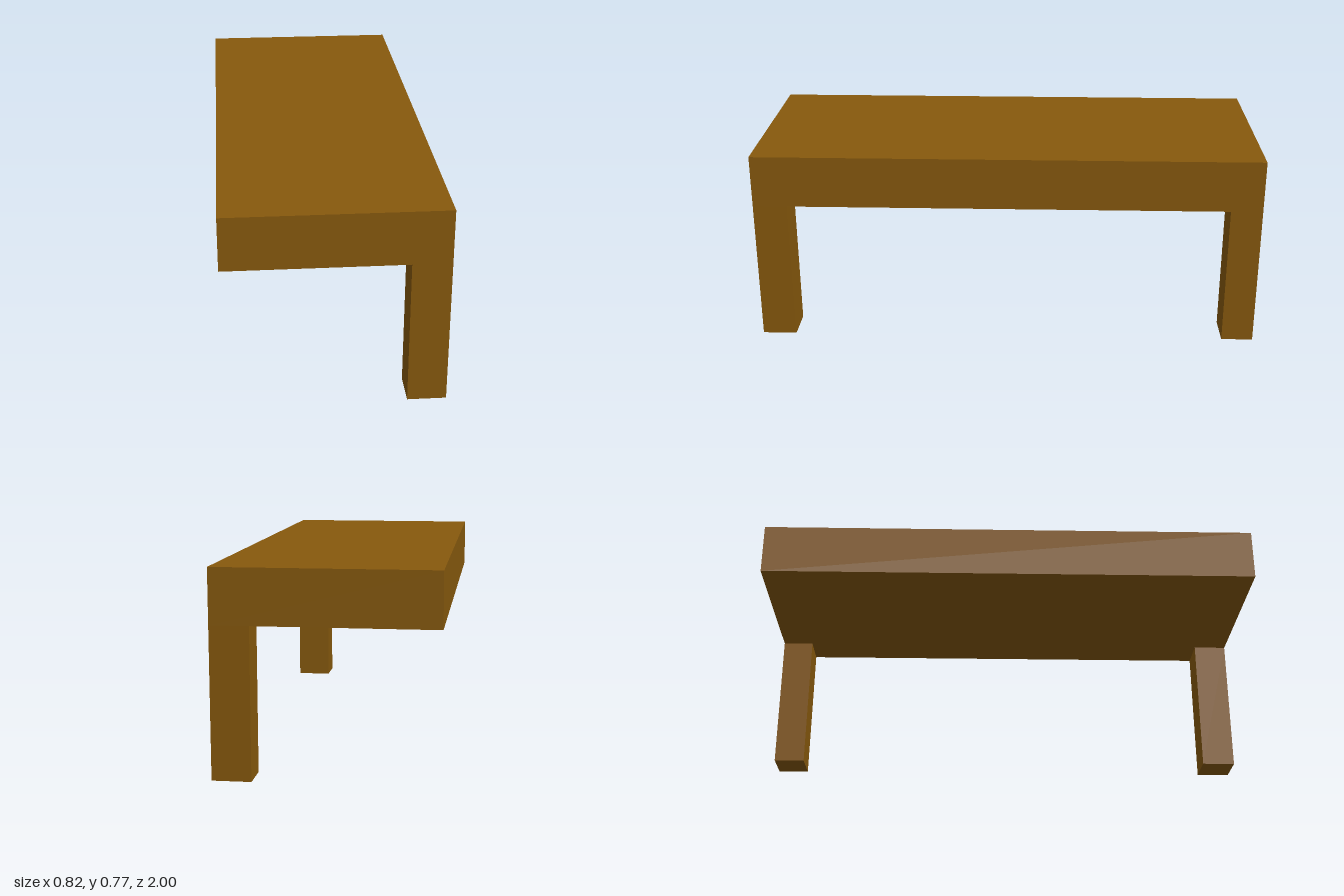
import * as THREE from 'three';

export function createModel() {
  const model = new THREE.Group();
  model.name = 'bench';
  const wood = new THREE.MeshStandardMaterial({ color: 0x87590d });
  wood.name = 'brown wood';

  // Adds a box spanning two opposite corners
  const addBox = (name, [x0, y0, z0], [x1, y1, z1]) => {
    const mesh = new THREE.Mesh(new THREE.BoxGeometry(x1 - x0, y1 - y0, z1 - z0), wood);
    mesh.position.set((x0 + x1) / 2, (y0 + y1) / 2, (z0 + z1) / 2);
    mesh.name = name;
    model.add(mesh);
  };

  const halfWidth = 0.41, underside = 0.562, top = 0.767, legInner = 0.265;

  // Thick top slab
  addBox('topSlab', [-halfWidth, underside, -1], [halfWidth, top, 1]);

  // Two legs, both under the left edge, flush with the corners
  addBox('frontLeg', [legInner, 0, 0.865], [halfWidth, underside, 1]);
  addBox('backLeg', [legInner, 0, -1], [halfWidth, underside, -0.875]);

  return model;
}
